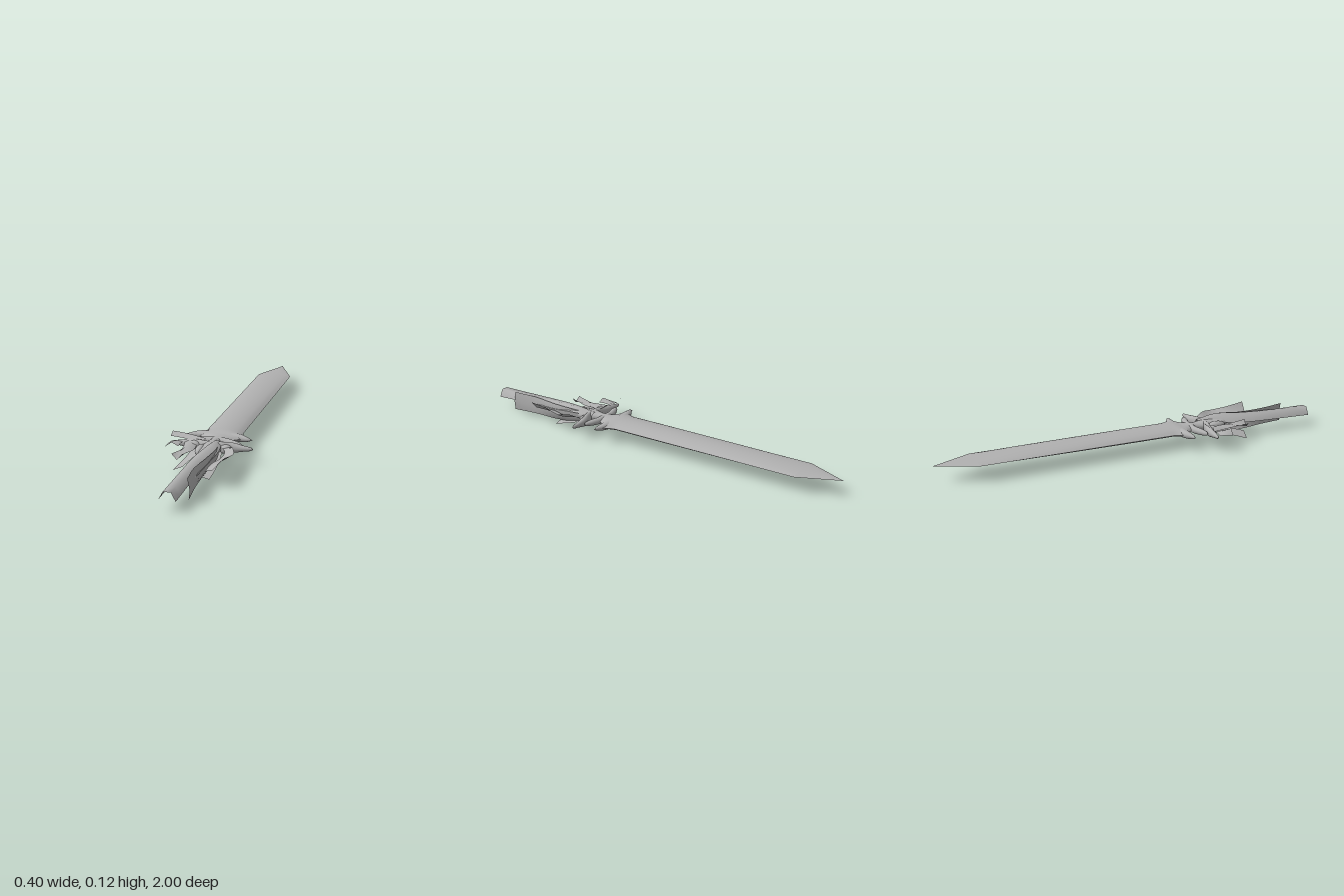
import * as THREE from 'three';

// Smooth surface through equal-length rows of [x, y, z] points
function surface(rows, closed = false) {
  const n = rows[0].length, pos = [], idx = [];
  rows.forEach(r => r.forEach(p => pos.push(p[0], p[1], p[2])));
  for (let i = 0; i < rows.length - 1; i++) {
    for (let j = 0; j < (closed ? n : n - 1); j++) {
      const a = i * n + j, b = i * n + (j + 1) % n, c = a + n, d = b + n;
      idx.push(a, c, b, b, c, d);
    }
  }
  const g = new THREE.BufferGeometry();
  g.setAttribute('position', new THREE.Float32BufferAttribute(pos, 3));
  g.setIndex(idx);
  g.computeVertexNormals();
  return g;
}

// Half a lens: stations are [z, half width, half thickness]
function lensSide(stations, cx, cy, sign) {
  return surface(stations.map(([z, w, t]) => {
    const row = [];
    for (let j = 0; j <= 12; j++) {
      const u = (j / 6 - 1) * -sign;
      row.push([cx + w * u, cy + sign * t * (1 - u * u) ** 0.75, z]);
    }
    return row;
  }));
}

// Rounded horn along a flat path: points are [x, y, z, side radius, vertical radius]
function horn(points) {
  const path = new THREE.CatmullRomCurve3(points.map(p => new THREE.Vector3(p[0], p[1], p[2])));
  const size = new THREE.CatmullRomCurve3(points.map(p => new THREE.Vector3(p[3], p[4], 0)));
  const rows = [];
  for (let i = 0; i <= 20; i++) {
    const t = i / 20, c = path.getPoint(t), s = size.getPoint(t), d = path.getTangent(t);
    const row = [];
    for (let j = 0; j < 14; j++) {
      const a = j / 14 * Math.PI * 2, k = Math.max(s.x, 0) * Math.cos(a);
      row.push([c.x - d.z * k, c.y + Math.max(s.y, 0) * Math.sin(a), c.z + d.x * k]);
    }
    rows.push(row);
  }
  return surface(rows, true);
}

// Cloth strip smoothed lengthwise through rows of cross-section points
function ribbon(rows, steps = 12) {
  const curves = rows[0].map((_, j) =>
    new THREE.CatmullRomCurve3(rows.map(r => new THREE.Vector3(...r[j]))));
  const out = [];
  for (let i = 0; i <= steps; i++) out.push(curves.map(c => c.getPoint(i / steps).toArray()));
  return surface(out);
}

export function createModel() {
  const model = new THREE.Group();
  const steel = new THREE.MeshStandardMaterial({ color: 0xb0b0b0, side: THREE.DoubleSide });
  steel.name = 'grey';
  const add = (name, geometry) => {
    const m = new THREE.Mesh(geometry, steel);
    m.name = name;
    model.add(m);
    return m;
  };

  // Blade, with a straight-sided point
  const blade = [[-1, 0, 0], [-0.8, 0.09, 0.008]];
  const body = [[-0.8, 0.09, 0.008], [-0.6, 0.09, 0.017], [-0.3, 0.09, 0.022], [0, 0.09, 0.025],
    [0.19, 0.09, 0.025], [0.22, 0.1, 0.025], [0.245, 0.118, 0.024], [0.26, 0.13, 0.019], [0.275, 0.09, 0.019],
    [0.29, 0.065, 0.018], [0.31, 0.05, 0.018]];
  for (const [side, sign] of [['Upper', 1], ['Lower', -1]]) {
    add('bladePoint' + side, lensSide(blade, 0.01, 0.08, sign));
    add('blade' + side, lensSide(body, 0.01, 0.08, sign));
  }

  // Guard horns, mirrored
  for (const s of [-1, 1]) {
    const cx = 0.003;
    const at = rows => rows.map(([x, y, z, a, b]) => [cx + s * x, y, z, a, b]);
    add('bladeCollarHorn', horn(at([[0.05, 0.08, 0.245, 0.03, 0.02], [0.1, 0.08, 0.252, 0.02, 0.018],
      [0.14, 0.08, 0.264, 0.009, 0.01], [0.163, 0.08, 0.266, 0, 0]])));
    add('innerHorn', horn(at([[0, 0.08, 0.315, 0.02, 0.02], [0.05, 0.08, 0.32, 0.017, 0.018],
      [0.09, 0.08, 0.334, 0.016, 0.016], [0.125, 0.08, 0.345, 0.009, 0.01], [0.137, 0.08, 0.345, 0, 0]])));
    add('outerHorn', horn(at([[0, 0.08, 0.4, 0.02, 0.024], [0.05, 0.078, 0.392, 0.016, 0.028],
      [0.1, 0.077, 0.378, 0.017, 0.024], [0.15, 0.077, 0.377, 0.012, 0.014],
      [0.185, 0.077, 0.376, 0.006, 0.008], [0.195, 0.077, 0.376, 0, 0]])));
  }

  // Neck, grip stub and knots
  add('neck', horn([[0.005, 0.08, 0.28, 0.05, 0.018], [0.005, 0.08, 0.34, 0.025, 0.02],
    [0.005, 0.08, 0.4, 0.04, 0.024], [0.005, 0.08, 0.5, 0.03, 0.02], [0.005, 0.08, 0.55, 0, 0]]));
  for (const [x, y, z, a, b, c] of [[-0.03, 0.08, 0.45, 0.022, 0.022, 0.05], [0.04, 0.082, 0.43, 0.02, 0.02, 0.04],
    [-0.075, 0.08, 0.4, 0.03, 0.022, 0.025], [0.075, 0.075, 0.4, 0.03, 0.022, 0.022], [0.005, 0.055, 0.41, 0.04, 0.02, 0.035]]) {
    const knot = add('knot', new THREE.SphereGeometry(1, 16, 12));
    knot.scale.set(a, b, c);
    knot.position.set(x, y, z);
  }

  // Long central cloth strip, arched across
  add('centralStrip', ribbon([
    [[0.005, 0.085, 0.37], [0.015, 0.1, 0.37], [0.03, 0.105, 0.37], [0.045, 0.09, 0.37]],
    [[-0.015, 0.085, 0.48], [0.01, 0.112, 0.48], [0.04, 0.118, 0.48], [0.068, 0.095, 0.48]],
    [[-0.035, 0.075, 0.6], [-0.01, 0.105, 0.6], [0.025, 0.11, 0.6], [0.055, 0.08, 0.6]],
    [[-0.036, 0.066, 0.8], [-0.015, 0.1, 0.8], [0.02, 0.1, 0.8], [0.042, 0.068, 0.8]],
    [[-0.036, 0.06, 1], [-0.015, 0.098, 1], [0.02, 0.098, 1], [0.04, 0.06, 1]]]));

  // Strip standing on edge beside it
  add('uprightStrip', ribbon([
    [[0.04, 0.1, 0.4], [0.045, 0.08, 0.4], [0.04, 0.06, 0.4]],
    [[0.06, 0.11, 0.5], [0.065, 0.065, 0.5], [0.035, 0.03, 0.5]],
    [[0.045, 0.105, 0.62], [0.058, 0.06, 0.62], [0.03, 0.015, 0.62]],
    [[0.035, 0.11, 0.75], [0.045, 0.06, 0.75], [0.04, 0.02, 0.75]],
    [[0.05, 0.115, 0.88], [0.06, 0.065, 0.88], [0.055, 0.02, 0.88]]]));

  // Hanging strip below the centre
  add('lowerStrip', ribbon([
    [[0.02, 0.065, 0.4], [0.06, 0.065, 0.4]],
    [[0.018, 0.035, 0.5], [0.065, 0.03, 0.5]],
    [[0.015, 0.012, 0.6], [0.058, 0.002, 0.6]]]));

  // Left strip
  add('leftStrip', ribbon([
    [[0.05, 0.085, 0.4], [0.075, 0.09, 0.4], [0.1, 0.085, 0.4]],
    [[0.085, 0.08, 0.45], [0.1, 0.085, 0.45], [0.122, 0.105, 0.45]],
    [[0.085, 0.075, 0.52], [0.115, 0.08, 0.52], [0.146, 0.1, 0.52]],
    [[0.07, 0.08, 0.6], [0.1, 0.085, 0.6], [0.13, 0.112, 0.6]],
    [[0.062, 0.072, 0.68], [0.1, 0.085, 0.69], [0.135, 0.124, 0.695]]]));

  // Right strips, one above the other
  add('rightStrip', ribbon([
    [[-0.125, 0.085, 0.39], [-0.1, 0.1, 0.39], [-0.06, 0.09, 0.39]],
    [[-0.11, 0.085, 0.47], [-0.085, 0.1, 0.47], [-0.055, 0.085, 0.47]],
    [[-0.122, 0.1, 0.585], [-0.095, 0.075, 0.59], [-0.07, 0.105, 0.59]]]));
  add('rightLowerStrip', ribbon([
    [[-0.08, 0.075, 0.4], [-0.02, 0.07, 0.4]],
    [[-0.09, 0.05, 0.48], [-0.035, 0.07, 0.48]],
    [[-0.12, 0.02, 0.58], [-0.07, 0.045, 0.59]]]));

  // Short outer scraps on the right
  add('outerScrap', ribbon([
    [[-0.19, 0.085, 0.385], [-0.16, 0.09, 0.385], [-0.135, 0.085, 0.385]],
    [[-0.195, 0.085, 0.42], [-0.165, 0.1, 0.42], [-0.135, 0.09, 0.42]],
    [[-0.198, 0.08, 0.455], [-0.165, 0.105, 0.46], [-0.132, 0.09, 0.46]]]));
  add('sideStrip', ribbon([
    [[-0.195, 0.122, 0.35], [-0.197, 0.105, 0.375]],
    [[-0.12, 0.117, 0.355], [-0.12, 0.1, 0.38]],
    [[-0.03, 0.107, 0.37], [-0.03, 0.09, 0.395]]]));

  return model;
}
